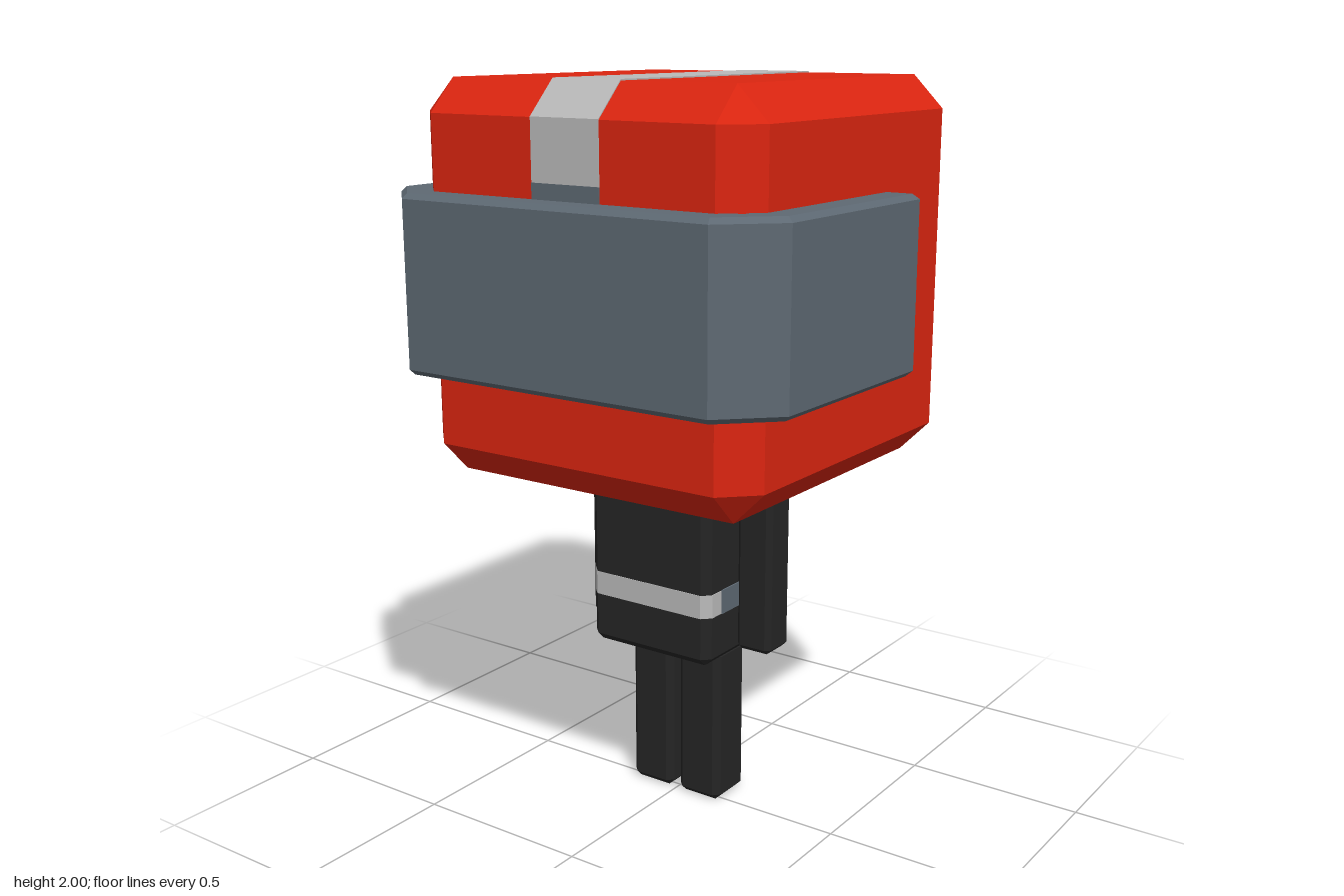
import * as THREE from 'three';
import { ConvexGeometry } from 'three/addons/geometries/ConvexGeometry.js';

function material(name, color) {
  const m = new THREE.MeshStandardMaterial({ color });
  m.name = name;
  return m;
}

// Box with every edge cut at 45 degrees; c is the cut width
function chamferBox(w, h, d, c) {
  const pts = [];
  const x = w / 2, y = h / 2, z = d / 2;
  for (const sx of [-1, 1]) for (const sy of [-1, 1]) for (const sz of [-1, 1]) {
    pts.push(
      new THREE.Vector3(sx * x, sy * (y - c), sz * (z - c)),
      new THREE.Vector3(sx * (x - c), sy * y, sz * (z - c)),
      new THREE.Vector3(sx * (x - c), sy * (y - c), sz * z));
  }
  return new ConvexGeometry(pts);
}

function polygon(points) {
  return new THREE.Shape(points.map(([a, b]) => new THREE.Vector2(a, b)));
}

export function createModel() {
  const model = new THREE.Group();
  const red = material('red', 0xdb2510);
  const grey = material('light grey', 0xbababa);
  const slate = material('slate', 0x5e6973);
  const black = material('black', 0x252525);

  const add = (name, geometry, mat, x = 0, y = 0, z = 0) => {
    const mesh = new THREE.Mesh(geometry, mat);
    mesh.name = name;
    mesh.position.set(x, y, z);
    model.add(mesh);
    return mesh;
  };

  // Head
  const headY = 1.4875, headZ = -0.04, half = 0.514, cut = 0.086;
  add('head', chamferBox(half * 2, 1.025, half * 2, cut), red, 0, headY, headZ);

  // Stripe over the head: from the brow, across the top and down the back
  const stripePath = (o) => {
    const r = half + o, i = half - cut;
    return [[r, 0.2725], [r, i], [i, r], [-i, r], [-r, i], [-r, -i], [-i, -r]];
  };
  const stripe = new THREE.ExtrudeGeometry(
    polygon([...stripePath(0.002), ...stripePath(-0.004).reverse()]),
    { depth: 0.206, bevelEnabled: false });
  stripe.rotateY(-Math.PI / 2).translate(0.103, 0, 0);
  add('headStripe', stripe, grey, 0, headY, headZ);

  // Slate patch that continues the stripe behind the visor
  add('browPatch', new THREE.BoxGeometry(0.206, 0.46, 0.006), slate, 0, 1.53, 0.474);

  // Visor wrapping the front and sides of the head
  const visorShape = polygon([
    [-0.6, -0.185], [-0.597, 0.42], [-0.463, 0.553], [0.463, 0.553], [0.597, 0.42], [0.6, -0.185],
    [0.47, -0.185], [0.47, 0.43], [-0.47, 0.43], [-0.47, -0.185]]);
  const bevel = 0.014;
  const visor = new THREE.ExtrudeGeometry(visorShape, {
    depth: 0.465 - 2 * bevel, bevelEnabled: true, bevelSegments: 1,
    bevelSize: bevel, bevelThickness: bevel, bevelOffset: -bevel });
  visor.rotateX(Math.PI / 2);
  add('visor', visor, slate, 0, 1.72 - bevel, 0);

  // Body
  const bodyZ = -0.036, bx = 0.195, bz = 0.19, bc = 0.022;
  add('body', chamferBox(bx * 2, 0.56, bz * 2, bc), black, 0, 0.74, bodyZ);

  // Belt hugging the body, with slate panels on both sides
  const o = 0.002, ex = bx + o, ez = bz + o, ix = bx - bc, iz = bz - bc;
  const belt = new THREE.ExtrudeGeometry(polygon([
    [ix, -ez], [ex, -iz], [ex, iz], [ix, ez], [-ix, ez], [-ex, iz], [-ex, -iz], [-ix, -ez]]),
    { depth: 0.065, bevelEnabled: false });
  belt.rotateX(Math.PI / 2);
  add('belt', belt, grey, 0, 0.665, bodyZ);

  for (const [side, s] of [['left', 1], ['right', -1]]) {
    add(side + 'BeltPanel', new THREE.BoxGeometry(0.006, 0.067, 0.25), slate, s * 0.196, 0.6325, bodyZ);
    add(side + 'Arm', chamferBox(0.108, 0.44, 0.106, 0.014), black, s * 0.248, 0.695, -0.037);
    add(side + 'Leg', chamferBox(0.138, 0.456, 0.14, 0.018), black, s * 0.08, 0.228, -0.038);
  }

  return model;
}
